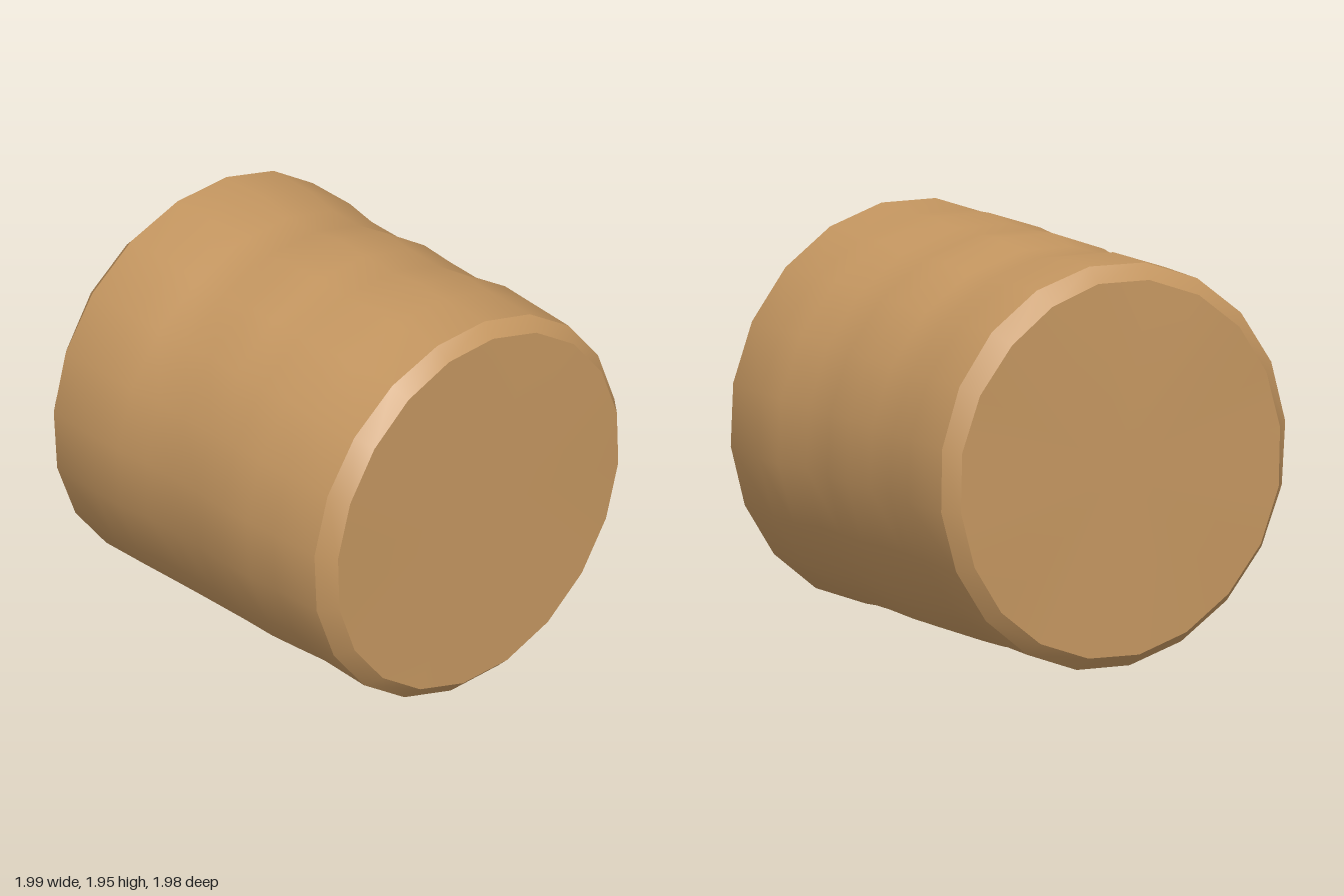
import * as THREE from 'three';

const SIDES = 20;
const START = THREE.MathUtils.degToRad(83.6);
const CENTRE_Y = 0.983;

// Radius offsets along the log (front to back) on its +x, top, -x and bottom flanks
const RING_Z = [0.912, 0.62, 0.45, 0.27, 0.08, -0.1, -0.27, -0.45, -0.62, -0.9];
const FLANKS = [
  [-0.01, 0.02, 0.018, -0.025, -0.02, -0.015, -0.03, -0.025, -0.012, -0.01],
  [-0.01, -0.015, 0, -0.02, -0.015, 0, -0.035, -0.035, 0, 0],
  [0, 0.005, 0.018, 0.017, -0.002, -0.004, -0.002, 0.017, 0.017, 0],
  [-0.003, -0.03, -0.025, -0.01, -0.002, -0.002, -0.005, -0.02, -0.018, -0.005],
];

// Smoothly blend the four flank values around the circumference
function flankOffset(ring, angle) {
  const t = THREE.MathUtils.euclideanModulo(angle / (Math.PI / 2), 4);
  const i = Math.floor(t) % 4;
  const f = THREE.MathUtils.smoothstep(t - Math.floor(t), 0, 1);
  return THREE.MathUtils.lerp(FLANKS[i][ring], FLANKS[(i + 1) % 4][ring], f);
}

function ringPoints(pointAt) {
  return Array.from({ length: SIDES }, (_, i) => {
    const a = START + (i * Math.PI * 2) / SIDES;
    const { r, z } = pointAt(a);
    return [Math.cos(a) * r, CENTRE_Y + Math.sin(a) * r, z];
  });
}

// Skin a run of closed rings with smooth normals
function skin(rings) {
  const index = [];
  for (let k = 0; k < rings.length - 1; k++) {
    for (let i = 0; i < SIDES; i++) {
      const j = (i + 1) % SIDES;
      const a = k * SIDES + i, b = k * SIDES + j;
      const c = a + SIDES, d = b + SIDES;
      index.push(a, c, b, b, c, d);
    }
  }
  const geometry = new THREE.BufferGeometry();
  geometry.setAttribute('position', new THREE.Float32BufferAttribute(rings.flat(2), 3));
  geometry.setIndex(index);
  geometry.computeVertexNormals();
  return geometry;
}

// Flat end, fanned from its middle
function cap(rim, z, front) {
  const index = [];
  for (let i = 0; i < SIDES; i++) {
    const j = (i + 1) % SIDES;
    index.push(SIDES, front ? i : j, front ? j : i);
  }
  const geometry = new THREE.BufferGeometry();
  geometry.setAttribute('position', new THREE.Float32BufferAttribute([...rim, [0, CENTRE_Y, z]].flat(), 3));
  geometry.setIndex(index);
  geometry.computeVertexNormals();
  return geometry;
}

export function createModel() {
  const group = new THREE.Group();
  group.name = 'log';
  const wood = new THREE.MeshStandardMaterial({ color: 0xc49660 });
  wood.name = 'wood';

  const last = RING_Z.length - 1;
  const body = RING_Z.map((z, k) => ringPoints((a) => {
    // The two end rings waver a little along the log
    let dz = 0;
    if (k === 0) dz = -0.012 * Math.abs(Math.cos(a));
    if (k === last) dz = 0.018 * Math.sin(a * 2 - 0.5) + 0.006 * Math.sin(a);
    return { r: 0.982 + flankOffset(k, a), z: z + dz };
  }));
  const frontRim = ringPoints((a) => ({ r: 0.908, z: 0.983 + 0.005 * Math.sin(a * 3) }));
  const backRim = ringPoints((a) => ({
    r: 0.908,
    z: -0.982 + 0.03 * Math.max(0, Math.sin(a)) ** 6 + 0.006 * Math.sin(a * 5),
  }));

  const parts = {
    bark: skin(body),
    frontBevel: skin([frontRim, body[0]]),
    backBevel: skin([body[last], backRim]),
    frontEnd: cap(frontRim, 0.985, true),
    backEnd: cap(backRim, -0.98, false),
  };
  for (const [name, geometry] of Object.entries(parts)) {
    const mesh = new THREE.Mesh(geometry, wood);
    mesh.name = name;
    group.add(mesh);
  }
  return group;
}
